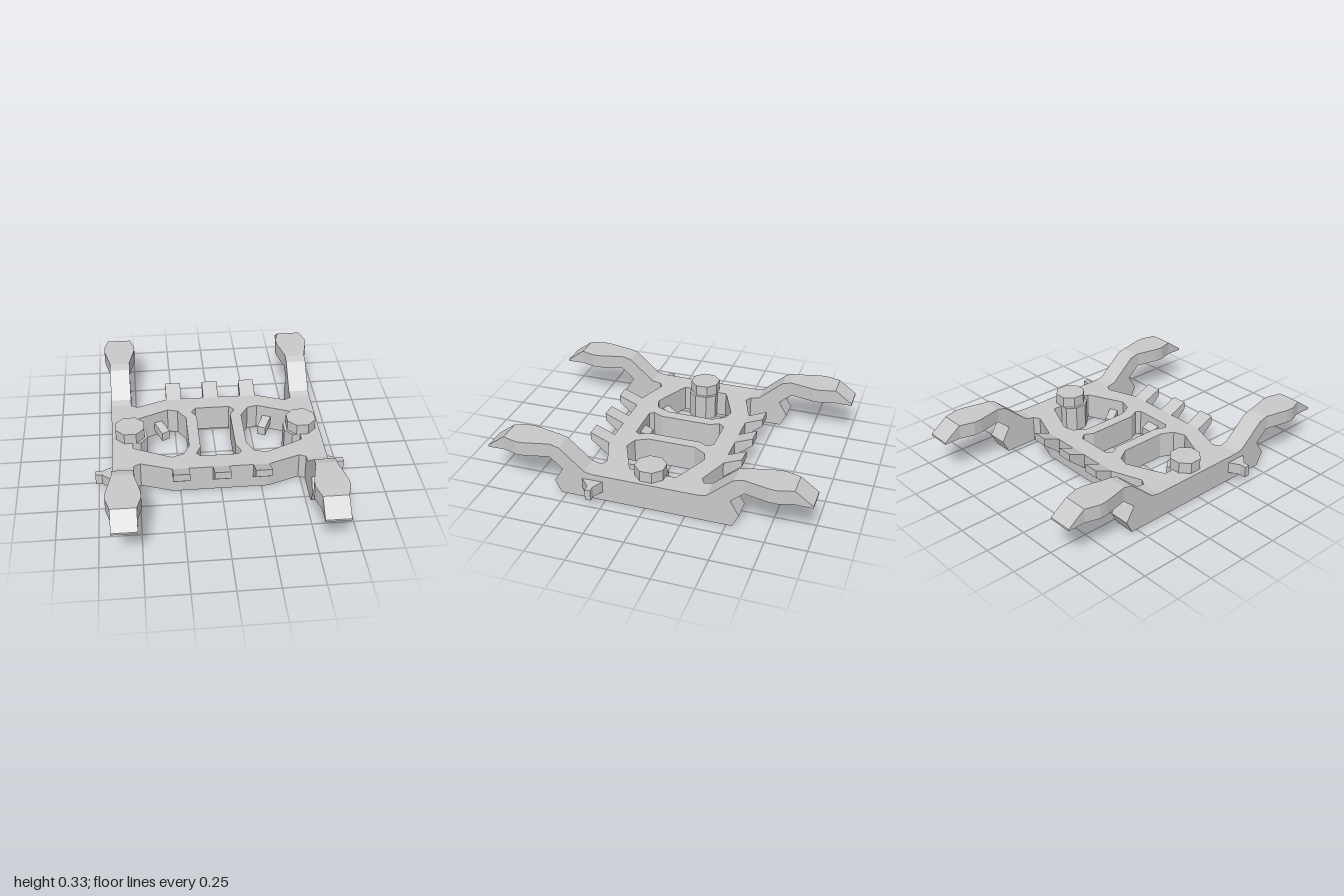
import * as THREE from 'three';

const RAIL_X = 0.595;
const TOP = 0.17;

export function createModel() {
  const model = new THREE.Group();
  model.name = 'frame';
  const grey = new THREE.MeshStandardMaterial({ color: 0xcacaca });
  grey.name = 'plain grey';
  grey.flatShading = true;

  const add = (name, geometry, x = 0, y = 0, z = 0, turn = 0) => {
    const mesh = new THREE.Mesh(geometry, grey);
    mesh.name = name;
    mesh.position.set(x, y, z);
    mesh.rotation.y = turn;
    model.add(mesh);
  };
  // Points in counter-clockwise order, or clockwise for holes
  const loop = (list, clockwise = false) => {
    const pts = list.map(([a, b]) => new THREE.Vector2(a, b));
    return THREE.ShapeUtils.isClockWise(pts) === clockwise ? pts : pts.reverse();
  };
  const extrude = (shape, depth) =>
    new THREE.ExtrudeGeometry(shape, { depth, bevelEnabled: false, steps: 1 });

  // Plan outline in [x, z], raised from y = 0
  const plan = (outline, height, holes = []) => {
    const flip = (list) => list.map(([x, z]) => [x, -z]);
    const shape = new THREE.Shape(loop(flip(outline)));
    holes.forEach((h) => shape.holes.push(new THREE.Path(loop(flip(h), true))));
    return extrude(shape, height).rotateX(-Math.PI / 2);
  };
  // Side profile in [z, y], given a width centred on x = 0
  const profile = (outline, width) =>
    extrude(new THREE.Shape(loop(outline)), width)
      .rotateY(-Math.PI / 2).translate(width / 2, 0, 0);
  // Completes a half outline by mirroring its first coordinate
  const mirrored = (half) => [...half, ...half.map(([a, b]) => [-a, b]).reverse()];

  // Deck with one middle and two side openings
  const outline = mirrored([
    [0.295, -0.375], [0.49, -0.302], [0.53, -0.325], [0.545, -0.325],
    [0.545, 0.32], [0.53, 0.32], [0.49, 0.3], [0.295, 0.37],
  ]);
  const middleHole = mirrored([
    [0.11, -0.257], [0.14, -0.22], [0.11, -0.165],
    [0.11, 0.16], [0.14, 0.225], [0.12, 0.253],
  ]);
  const sideHole = [
    [0.49, -0.17], [0.295, -0.253], [0.23, -0.235], [0.18, -0.155],
    [0.18, 0.145], [0.22, 0.225], [0.295, 0.25], [0.49, 0.16],
    [0.53, 0.14], [0.53, 0.09], [0.48, 0.09], [0.437, 0.037],
    [0.437, -0.037], [0.48, -0.09], [0.53, -0.09], [0.53, -0.15],
  ];
  add('deck', plan(outline, TOP,
    [middleHole, sideHole, sideHole.map(([x, z]) => [-x, z])]));

  // Rails with pointed ends and the rising roots of the arms
  const railGeometry = profile(mirrored([
    [0.535, 0], [0.575, 0.08], [0.52, TOP], [0.6, 0.24],
    [0.6, 0.33], [0.59, 0.33], [0.535, 0.315], [0.38, 0.18], [0.33, TOP],
  ]), 0.13);

  // Arm blade: a box reshaped station by station [z, half width, bottom, top]
  const stations = [
    [0.6, 0.065, 0.24, 0.33], [0.75, 0.1, 0.24, 0.33], [0.8, 0.1025, 0.24, 0.33],
    [0.89, 0.076, 0.24, 0.33], [1, 0.076, 0.238, 0.25],
  ];
  const armGeometry = new THREE.BoxGeometry(2, 2, 4, 1, 1, 4);
  const p = armGeometry.attributes.position;
  for (let i = 0; i < p.count; i++) {
    const [z, half, bottom, top] = stations[Math.round(p.getZ(i) + 2)];
    p.setXYZ(i, Math.sign(p.getX(i)) * half, p.getY(i) > 0 ? top : bottom, z);
  }
  armGeometry.computeVertexNormals();

  // Octagonal boss with flats facing the axes
  const bossGeometry = new THREE.CylinderGeometry(0.097, 0.097, 0.07, 8)
    .rotateY(Math.PI / 8);

  // Slanted tab, its +z end buried in the wall
  const tabGeometry = profile(
    [[-0.05, 0.01], [0.05, 0.04], [0.05, 0.1], [-0.05, 0.07]], 0.055);

  for (const s of [1, -1]) {
    const side = s > 0 ? 'left' : 'right';
    add(side + 'Rail', railGeometry, s * RAIL_X);
    add(side + 'FrontArm', armGeometry, s * RAIL_X);
    add(side + 'BackArm', armGeometry, s * RAIL_X, 0, 0, Math.PI);
    add(side + 'Boss', bossGeometry, s * 0.544, TOP + 0.035);

    // Tapered peg on the outer face of the rail
    const peg = [
      [0.65, 0.265], [0.66, 0.265], [0.725, 0.3], [0.765, 0.3],
      [0.765, 0.335], [0.725, 0.335], [0.66, 0.395], [0.65, 0.395],
    ];
    add(side + 'Peg', plan(peg.map(([x, z]) => [s * x, z]), 0.07), 0, 0.06);

    // Small tabs on the slanted walls of the side opening
    add(side + 'FrontTab', tabGeometry, s * 0.338, 0, 0.187, s * 0.5);
    add(side + 'BackTab', tabGeometry, s * 0.338, 0, -0.187, Math.PI - s * 0.5);
  }

  // Prongs rising outward from the front and back edges
  const prongGeometry = profile(
    [[0.36, 0.07], [0.37, 0.07], [0.49, TOP], [0.49, 0.22], [0.37, TOP], [0.36, TOP]], 0.1);
  for (const x of [-0.247, 0, 0.247]) {
    add('frontProng', prongGeometry, x);
    add('backProng', prongGeometry, x, 0, 0, Math.PI);
  }

  // Wedge tab inside the middle opening
  add('middleTab', profile(
    [[0.26, 0.05], [0.26, 0.13], [0.2, 0.1], [0.2, 0.05]], 0.09));

  return model;
}
